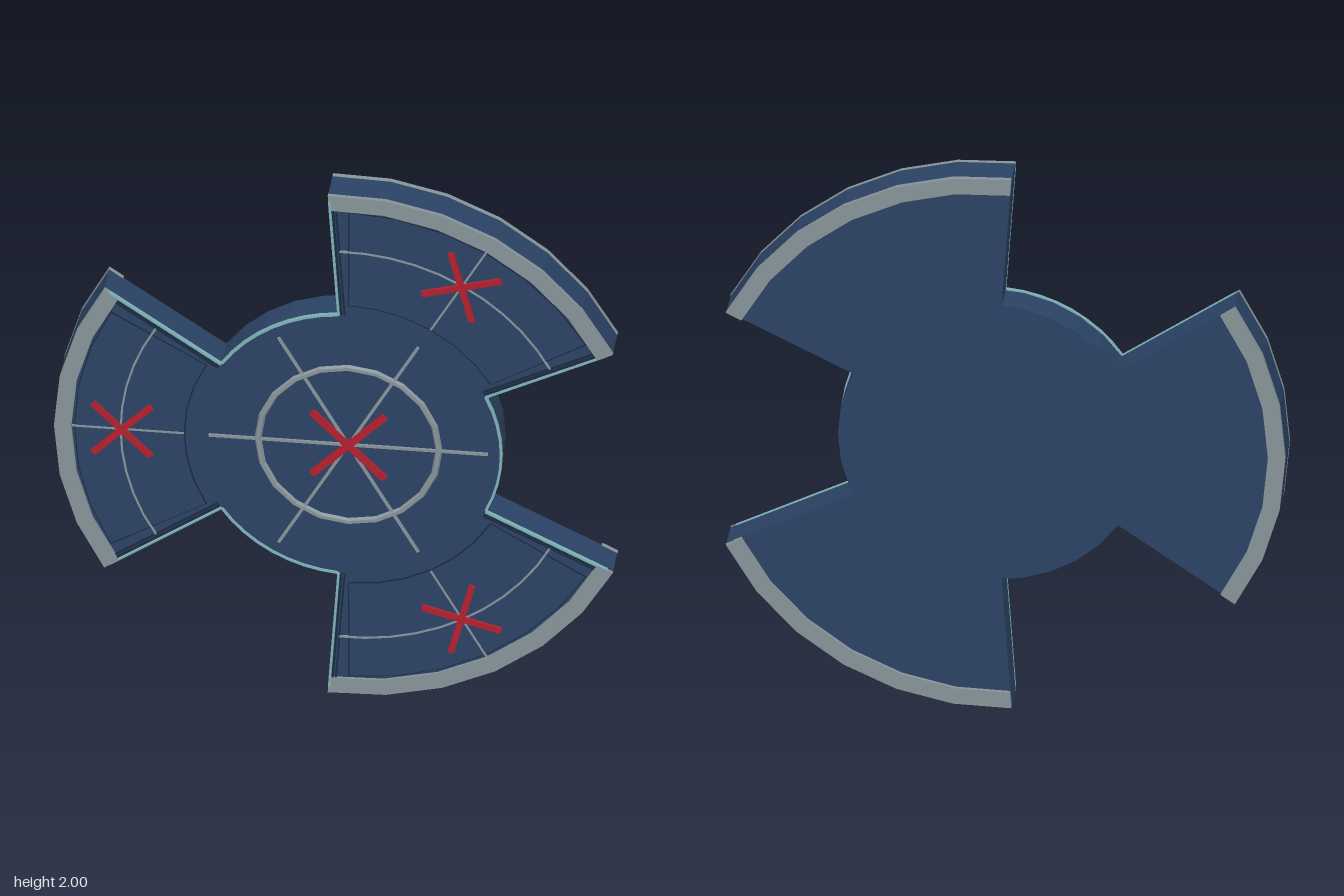
import * as THREE from 'three';

const CX = 0.05, CY = 1.0;          // hub axis
const HALF = THREE.MathUtils.degToRad(34);
const FRONT = 0.058, BACK = -0.062;

const mat = (color) => new THREE.MeshStandardMaterial({ color, flatShading: true });

export function createModel() {
  const navy = mat(0x2b4365), dark = mat(0x1a2a40), grey = mat(0x87949a);
  const teal = mat(0x7fb3b8), red = mat(0xb3202e);

  const add = (parent, name, geometry, material) => {
    const mesh = new THREE.Mesh(geometry, material);
    mesh.name = name;
    parent.add(mesh);
    return mesh;
  };

  // Ring sector about +x, extruded from z0 to z1
  const sector = (r0, r1, half, z0, z1, n = 6) => {
    const pts = [];
    for (let i = 0; i <= n; i++) {
      const a = -half + (2 * half * i) / n;
      pts.push(new THREE.Vector2(r1 * Math.cos(a), r1 * Math.sin(a)));
    }
    for (let i = n; i >= 0; i--) {
      const a = -half + (2 * half * i) / n;
      pts.push(new THREE.Vector2(r0 * Math.cos(a), r0 * Math.sin(a)));
    }
    const g = new THREE.ExtrudeGeometry(new THREE.Shape(pts), { depth: z1 - z0, bevelEnabled: false });
    return g.translate(0, 0, z0);
  };

  // Thin bar centred on (x, y), turned by an angle
  const bar = (parent, name, material, len, width, depth, x, y, z, angle) => {
    const m = add(parent, name, new THREE.BoxGeometry(len, width, depth), material);
    m.position.set(x, y, z);
    m.rotation.z = angle;
    return m;
  };

  const cross = (parent, len, width, x) => {
    for (const s of [-1, 1]) bar(parent, 'redCross', red, len, width, 0.012, x, 0, 0.066, (s * Math.PI) / 4);
  };

  const model = new THREE.Group();
  model.name = 'threeBladeDisc';
  const body = new THREE.Group();
  body.name = 'body';
  body.position.set(CX, CY, 0);
  model.add(body);

  // Hub disc with its edge trim, ring, spokes and cross
  const hub = new THREE.Group();
  hub.name = 'hub';
  body.add(hub);
  const disc = new THREE.CylinderGeometry(0.52, 0.52, FRONT - BACK + 0.002, 32);
  disc.rotateX(Math.PI / 2).translate(0, 0, (FRONT + BACK) / 2);
  add(hub, 'hubDisc', disc, navy);
  // Trim runs only along the gaps between the blades
  for (let i = 0; i < 3; i++) {
    const trim = add(hub, 'hubTrim', sector(0.515, 0.524, Math.PI / 3 - HALF, 0.052, 0.064, 8), teal);
    trim.rotation.z = (i * 2 * Math.PI) / 3;
  }
  const ring = add(hub, 'hubRing', new THREE.TorusGeometry(0.308, 0.012, 6, 20), grey);
  ring.position.z = 0.06;
  for (let i = 0; i < 3; i++) bar(hub, 'hubSpoke', grey, 0.95, 0.01, 0.01, 0, 0, 0.061, (i * Math.PI) / 3);
  cross(hub, 0.35, 0.025, 0);

  // Three identical blades
  for (let i = 0; i < 3; i++) {
    const blade = new THREE.Group();
    blade.name = 'blade';
    blade.rotation.z = Math.PI / 3 + (i * 2 * Math.PI) / 3;
    body.add(blade);

    add(blade, 'bladeBody', sector(0.48, 1.0, HALF, BACK, FRONT), navy);
    // Inset panel with a dark outline
    add(blade, 'panelOutline', sector(0.556, 0.934, HALF * 0.885, FRONT - 0.01, FRONT + 0.002), dark);
    add(blade, 'panel', sector(0.561, 0.93, HALF * 0.875, FRONT - 0.01, FRONT + 0.0035), navy);
    // Outer rim bands, front and back
    add(blade, 'frontRim', sector(0.942, 1.001, HALF, FRONT - 0.005, 0.068), grey);
    add(blade, 'backRim', sector(0.942, 1.001, HALF, -0.075, BACK + 0.005), grey);
    // Grey arc and centre line across the panel
    add(blade, 'panelArc', sector(0.771, 0.778, HALF * 0.95, FRONT, 0.064, 10), grey);
    bar(blade, 'panelLine', grey, 0.38, 0.007, 0.006, 0.75, 0, 0.061, 0);
    cross(blade, 0.28, 0.022, 0.77);

    // Edge strips along both sides
    for (const s of [-1, 1]) {
      const strip = (name, material, inset, width, z) => {
        const a = s * HALF, r = 0.75;
        bar(blade, name, material, 0.46, width, 0.014,
          r * Math.cos(a) + s * Math.sin(a) * inset,
          r * Math.sin(a) - s * Math.cos(a) * inset, z, a);
      };
      strip('edgeTrim', teal, 0.003, 0.008, 0.061);
      strip('edgeStrip', dark, 0.012, 0.007, 0.059);
      strip('innerEdgeStrip', dark, 0.023, 0.006, 0.057);
    }
  }
  return model;
}
